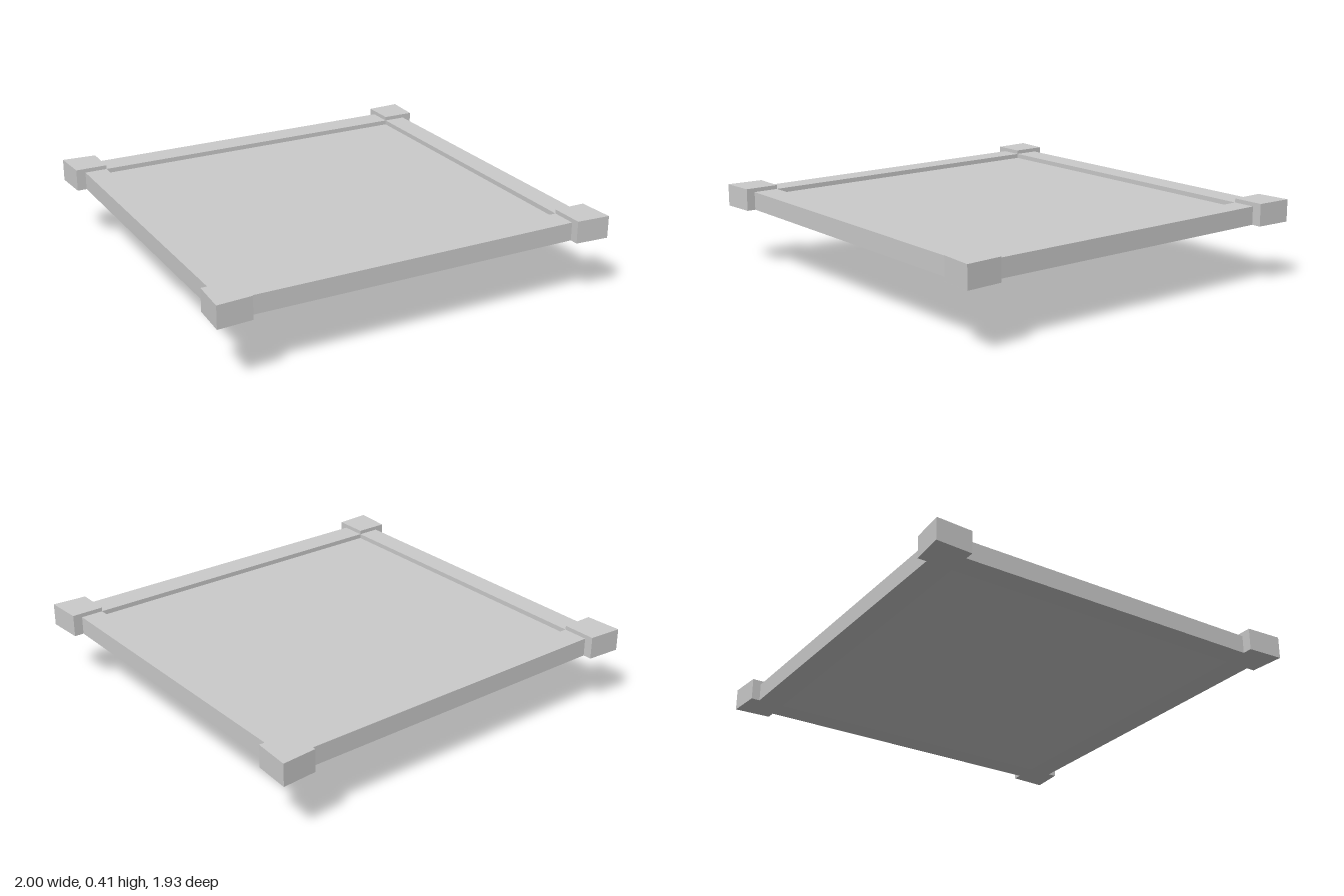
import * as THREE from 'three';

const INNER_X = 0.83, INNER_Z = 0.785;   // recessed panel half sizes
const OUTER_X = 0.943, OUTER_Z = 0.912;  // rail outer faces
const BASE = 0.305, FLOOR = 0.372, RAIL_TOP = 0.395, BLOCK_TOP = 0.415;

export function createModel() {
  const model = new THREE.Group();
  const material = new THREE.MeshStandardMaterial({ color: 0xcccccc, flatShading: true });

  const add = (name, geometry, x = 0, y = 0, z = 0) => {
    const mesh = new THREE.Mesh(geometry, material);
    mesh.name = name;
    mesh.position.set(x, y, z);
    model.add(mesh);
  };

  // Inverted pyramid underside, apex on the ground
  const pyramid = new THREE.ConeGeometry(Math.SQRT2, BASE, 4, 1, true);
  pyramid.rotateY(Math.PI / 4).rotateX(Math.PI).scale(INNER_X, 1, INNER_Z);
  add('pyramidUnderside', pyramid, 0, BASE / 2, 0);

  // Recessed top panel
  add('topPanel', new THREE.PlaneGeometry(2 * INNER_X, 2 * INNER_Z).rotateX(-Math.PI / 2), 0, FLOOR, 0);

  // Edge rails between the corner blocks
  const railH = RAIL_TOP - BASE, railY = (RAIL_TOP + BASE) / 2;
  for (const s of [-1, 1]) {
    add(s > 0 ? 'frontRail' : 'backRail',
      new THREE.BoxGeometry(2 * INNER_X, railH, OUTER_Z - INNER_Z), 0, railY, s * (OUTER_Z + INNER_Z) / 2);
    add(s > 0 ? 'leftRail' : 'rightRail',
      new THREE.BoxGeometry(OUTER_X - INNER_X, railH, 2 * INNER_Z), s * (OUTER_X + INNER_X) / 2, railY, 0);
  }

  // Corner blocks, flaring slightly towards the outer corner
  const outline = [[INNER_X, INNER_Z], [0.99, INNER_Z], [1, 0.967], [INNER_X, 0.955]];
  for (const sx of [-1, 1]) for (const sz of [-1, 1]) {
    const shape = new THREE.Shape(outline.map(([x, z]) => new THREE.Vector2(sx * x, -sz * z)));
    const block = new THREE.ExtrudeGeometry(shape, { depth: BLOCK_TOP - BASE, bevelEnabled: false });
    block.rotateX(-Math.PI / 2);
    add((sz > 0 ? 'front' : 'back') + (sx > 0 ? 'Left' : 'Right') + 'Block', block, 0, BASE, 0);
  }
  return model;
}
